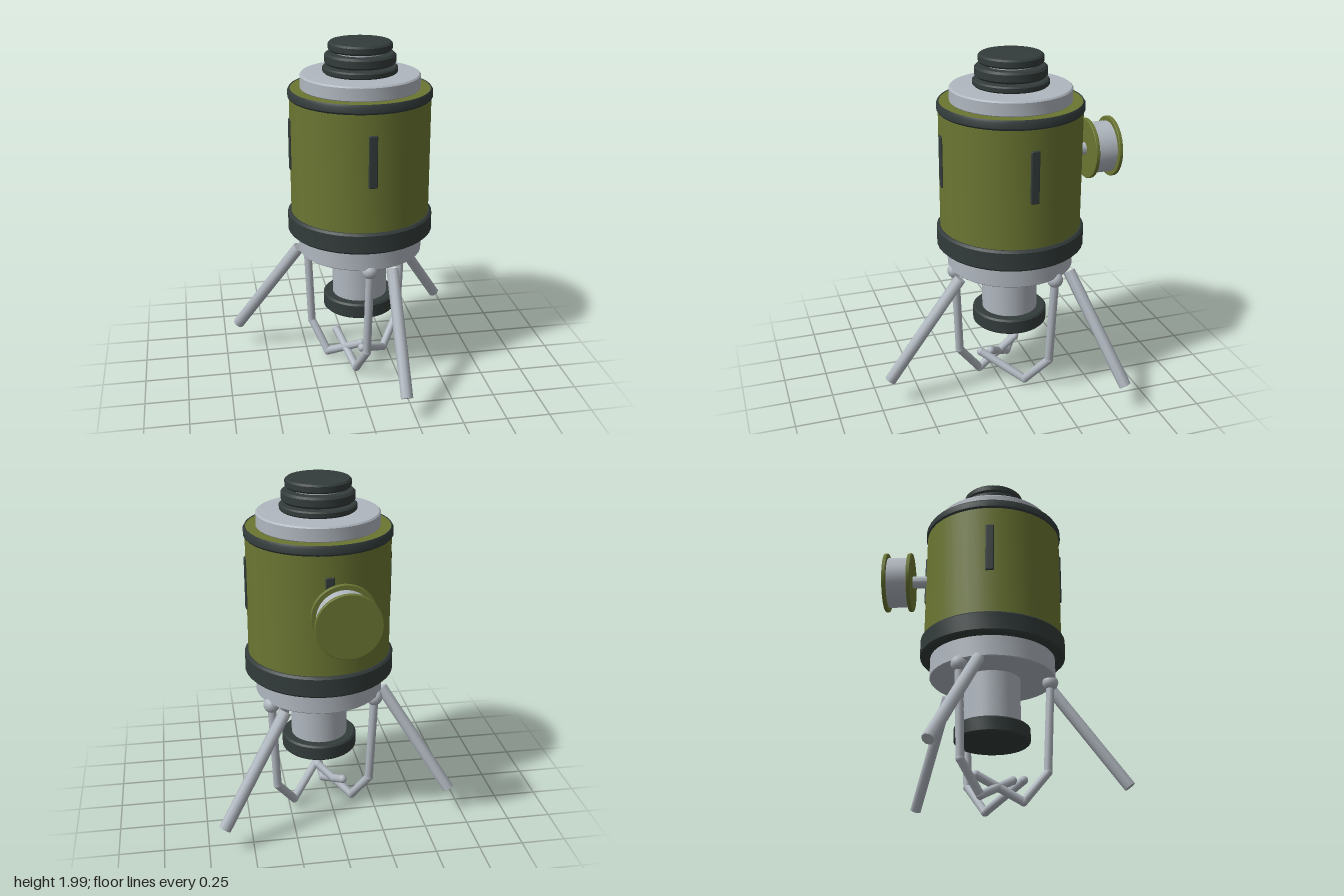
import * as THREE from 'three';
import { toCreasedNormals } from 'three/addons/utils/BufferGeometryUtils.js';
import { RoundedBoxGeometry } from 'three/addons/geometries/RoundedBoxGeometry.js';

const mat = (name, color) => {
  const m = new THREE.MeshStandardMaterial({ color });
  m.name = name;
  return m;
};

export function createModel() {
  const olive = mat('olive', 0x6b7632);
  const dark = mat('charcoal', 0x333c3b);
  const grey = mat('light grey', 0xb0b7bf);
  const model = new THREE.Group();
  model.name = 'capsuleRobot';

  const add = (parent, name, geometry, material) => {
    const mesh = new THREE.Mesh(geometry, material);
    mesh.name = name;
    parent.add(mesh);
    return mesh;
  };
  // Round slab with bevelled rims and an optional slight dome on top
  const disc = (parent, name, material, r, y0, y1, bevel = 0.008, dome = 0) => {
    const pts = [[0, y0], [r - bevel, y0], [r, y0 + bevel], [r, y1 - bevel], [r - bevel, y1], [0, y1 + dome]];
    const g = new THREE.LatheGeometry(pts.map(p => new THREE.Vector2(...p)), 40);
    return add(parent, name, toCreasedNormals(g, 0.6), material);
  };
  // Cylinder between two points
  const rod = (parent, name, a, b, r, sides = 12) => {
    const d = b.clone().sub(a);
    const mesh = add(parent, name, toCreasedNormals(new THREE.CylinderGeometry(r, r, d.length(), sides), 0.9), grey);
    mesh.position.copy(a).add(b).multiplyScalar(0.5);
    mesh.quaternion.setFromUnitVectors(new THREE.Vector3(0, 1, 0), d.normalize());
    return mesh;
  };
  const V = (x, y, z) => new THREE.Vector3(x, y, z);

  // Everything except the rear drum and the arms shares this axis
  const body = new THREE.Group();
  body.name = 'body';
  body.position.set(0.06, 0, -0.08);
  model.add(body);

  // Shell and its bands
  disc(body, 'shell', olive, 0.402, 0.99, 1.733, 0.006);
  disc(body, 'lowerBand', dark, 0.422, 0.885, 1.008, 0.012);
  const rim = [[0.39, 1.68], [0.402, 1.68], [0.41, 1.69], [0.41, 1.722], [0.402, 1.736], [0.39, 1.73]];
  add(body, 'upperBand', toCreasedNormals(
    new THREE.LatheGeometry(rim.map(p => new THREE.Vector2(...p)), 40), 0.6), dark);

  // Top plate and stacked cap
  disc(body, 'topPlate', grey, 0.34, 1.73, 1.815, 0.008, 0.008);
  disc(body, 'capCore', grey, 0.14, 1.81, 1.96, 0.004);
  disc(body, 'capRingLow', dark, 0.212, 1.82, 1.857);
  disc(body, 'capRingMiddle', dark, 0.201, 1.868, 1.93, 0.012);
  disc(body, 'capRingTop', dark, 0.18, 1.943, 1.992, 0.01, 0.008);

  // Underside plate, column and foot pad
  disc(body, 'basePlate', grey, 0.363, 0.762, 0.89, 0.005);
  disc(body, 'column', grey, 0.162, 0.45, 0.78, 0.002);
  disc(body, 'footPad', dark, 0.217, 0.382, 0.474, 0.01);

  // Four slots around the shell
  for (let i = 0; i < 4; i++) {
    const a = i * Math.PI / 2;
    const slot = add(body, 'slot', new RoundedBoxGeometry(0.05, 0.298, 0.03, 2, 0.008), dark);
    slot.position.set(Math.sin(a) * 0.395, 1.417, Math.cos(a) * 0.395);
    slot.rotation.y = a;
  }

  // Three splayed legs, turned about the body axis
  for (let i = 0; i < 3; i++) {
    const leg = new THREE.Group();
    leg.name = 'leg';
    leg.rotation.y = i * Math.PI * 2 / 3;
    rod(leg, 'legStrut', V(0.128, 0.752, 0.34), V(0.128, 0.163, 0.768), 0.035, 8);
    body.add(leg);
  }

  // Three jointed arms: shoulder, elbow, wrist, tip
  const arms = [
    [V(0.06, 0.745, 0.253), V(0.05, 0.21, 0.23), V(0.01, 0.035, 0.095), V(-0.07, 0.165, -0.16)],
    [V(0.355, 0.745, -0.25), V(0.33, 0.21, -0.235), V(0.22, 0.035, -0.125), V(0.045, 0.165, 0.095)],
    [V(-0.235, 0.745, -0.25), V(-0.215, 0.21, -0.235), V(-0.13, 0.035, -0.13), V(0.05, 0.165, 0.035)],
  ];
  for (const path of arms) {
    const arm = new THREE.Group();
    arm.name = 'arm';
    model.add(arm);
    path.forEach((p, i) => {
      const r = i === 0 ? 0.046 : 0.025;
      add(arm, i === 0 ? 'shoulder' : 'joint', new THREE.SphereGeometry(r, 16, 10), grey).position.copy(p);
      if (i > 0) rod(arm, 'armSegment', path[i - 1], p, 0.024);
    });
  }

  // Rear drum on a short stem, facing backwards
  const drum = new THREE.Group();
  drum.name = 'rearDrum';
  drum.position.set(0, 1.382, 0);
  drum.rotation.x = -Math.PI / 2;
  model.add(drum);
  disc(drum, 'stem', grey, 0.036, 0.44, 0.57, 0.001);
  disc(drum, 'innerFlange', olive, 0.176, 0.557, 0.58, 0.003);
  disc(drum, 'drumCore', grey, 0.149, 0.57, 0.71, 0.002);
  disc(drum, 'outerFlange', olive, 0.176, 0.7, 0.722, 0.003);

  return model;
}
